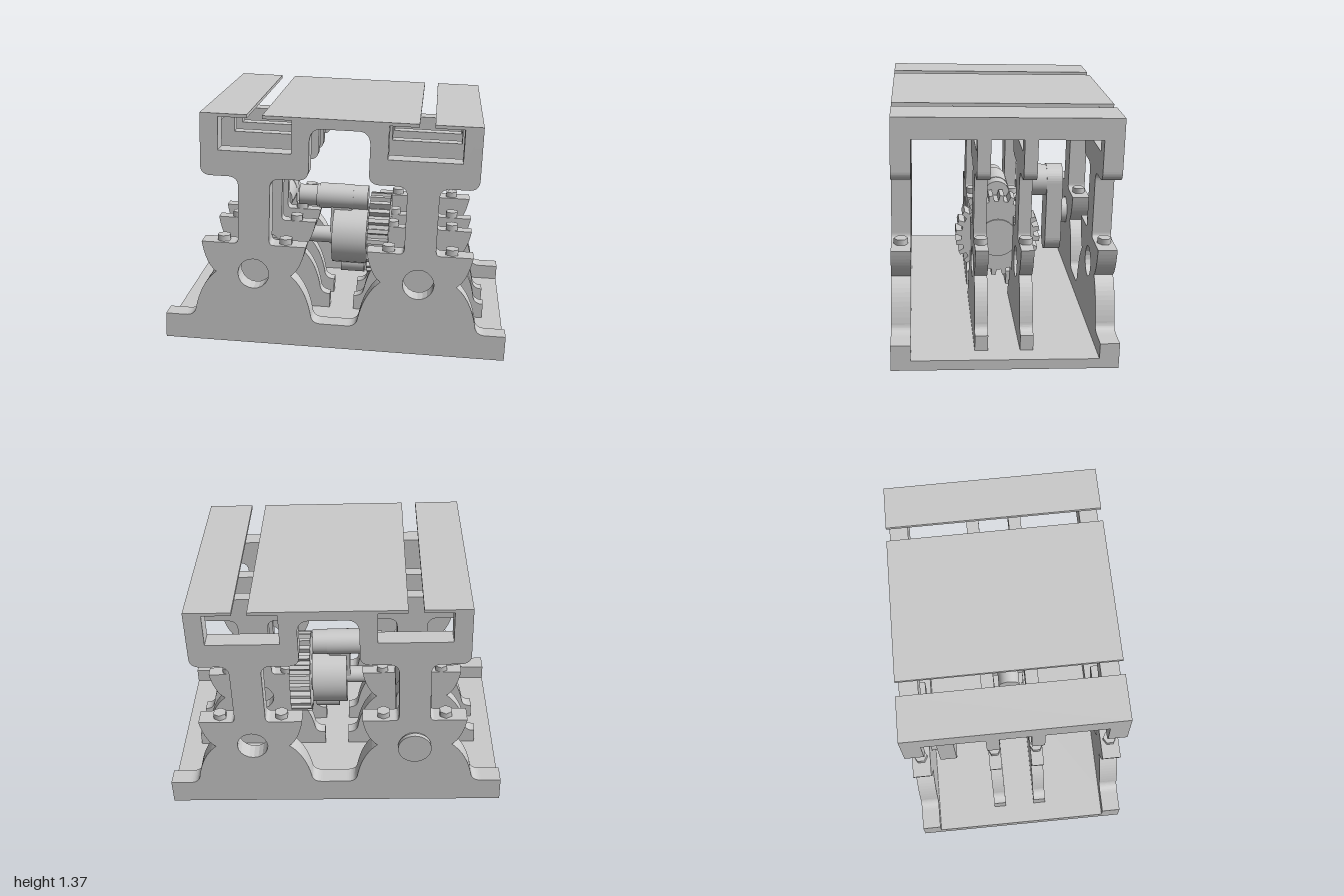
import * as THREE from 'three';

const grey = new THREE.MeshStandardMaterial({ color: 0xcccccc });

function add(parent, name, geometry, x = 0, y = 0, z = 0) {
  const mesh = new THREE.Mesh(geometry, grey);
  mesh.name = name;
  mesh.position.set(x, y, z);
  parent.add(mesh);
  return mesh;
}
const box = (p, name, w, h, d, x, y, z) => add(p, name, new THREE.BoxGeometry(w, h, d), x, y, z);

// Cylinder along x or z
function rod(parent, name, axis, r, length, x, y, z) {
  const g = new THREE.CylinderGeometry(r, r, length, 32);
  if (axis === 'x') g.rotateZ(Math.PI / 2); else g.rotateX(Math.PI / 2);
  return add(parent, name, g, x, y, z);
}

function extrude(shape, depth) {
  const g = new THREE.ExtrudeGeometry(shape, { depth, bevelEnabled: false, curveSegments: 10 });
  return g.translate(0, 0, -depth / 2);
}

// Column: flared foot, bearing boss, post and open-topped arm, symmetric about x = 0
function columnShape() {
  const s = new THREE.Shape();
  s.moveTo(-0.38, 0.04);
  s.lineTo(0.38, 0.04);
  s.lineTo(0.38, 0.14);
  s.quadraticCurveTo(0.325, 0.14, 0.32, 0.19);
  s.quadraticCurveTo(0.29, 0.34, 0.205, 0.41);
  s.quadraticCurveTo(0.262, 0.45, 0.285, 0.58);
  s.lineTo(0.11, 0.58);
  s.quadraticCurveTo(0.085, 0.58, 0.085, 0.61);
  s.lineTo(0.085, 0.9);
  s.quadraticCurveTo(0.085, 0.95, 0.135, 0.955);
  s.lineTo(0.24, 0.955);
  s.quadraticCurveTo(0.29, 0.96, 0.29, 1.01);
  s.lineTo(0.29, 1.275);
  s.lineTo(0.195, 1.275);
  s.lineTo(0.195, 1.095);
  s.lineTo(-0.195, 1.095);
  s.lineTo(-0.195, 1.275);
  s.lineTo(-0.29, 1.275);
  s.lineTo(-0.29, 1.01);
  s.quadraticCurveTo(-0.29, 0.96, -0.24, 0.955);
  s.lineTo(-0.135, 0.955);
  s.quadraticCurveTo(-0.085, 0.95, -0.085, 0.9);
  s.lineTo(-0.085, 0.61);
  s.quadraticCurveTo(-0.085, 0.58, -0.11, 0.58);
  s.lineTo(-0.285, 0.58);
  s.quadraticCurveTo(-0.262, 0.45, -0.205, 0.41);
  s.quadraticCurveTo(-0.29, 0.34, -0.32, 0.19);
  s.quadraticCurveTo(-0.325, 0.14, -0.38, 0.14);
  s.closePath();
  const hole = new THREE.Path();
  hole.absarc(0, 0.41, 0.085, 0, Math.PI * 2, true);
  s.holes.push(hole);
  return s;
}

// Bridge joining the two arms, with rounded lower corners
function bridgeShape() {
  const s = new THREE.Shape();
  s.moveTo(-0.17, 1.275);
  s.lineTo(-0.17, 1.17);
  s.lineTo(-0.16, 1.17);
  s.quadraticCurveTo(-0.155, 1.235, -0.1, 1.237);
  s.lineTo(0.1, 1.237);
  s.quadraticCurveTo(0.155, 1.235, 0.16, 1.17);
  s.lineTo(0.17, 1.17);
  s.lineTo(0.17, 1.275);
  s.closePath();
  return s;
}

// Toothed wheel with a bore, its axis along x
function gear(parent, name, r, teeth, width, bore, x, y, z) {
  const s = new THREE.Shape();
  for (let i = 0; i < teeth; i++) {
    [[0, 0.86], [0.42, 0.86], [0.5, 1], [0.88, 1]].forEach(([f, k], j) => {
      const a = (i + f) / teeth * Math.PI * 2;
      s[i + j ? 'lineTo' : 'moveTo'](r * k * Math.cos(a), r * k * Math.sin(a));
    });
  }
  s.closePath();
  const hole = new THREE.Path();
  hole.absarc(0, 0, bore, 0, Math.PI * 2, true);
  s.holes.push(hole);
  return add(parent, name, extrude(s, width).rotateY(Math.PI / 2), x, y, z);
}

function buildFrame(parent) {
  box(parent, 'basePlate', 1.88, 0.055, 1.19, 0, 0.0275, 0);
  const column = columnShape(), bridge = bridgeShape();
  for (const [z, depth] of [[0.543, 0.104], [0.12, 0.07], [-0.12, 0.07], [-0.543, 0.104]]) {
    const rib = new THREE.Group();
    rib.name = 'frameRib';
    rib.position.z = z;
    parent.add(rib);
    const outer = depth > 0.1;
    if (outer) box(rib, 'footRail', 1.88, 0.14, depth, 0, 0.07, 0);
    add(rib, 'bridge', extrude(bridge, depth));
    for (const side of [-1, 1]) {
      add(rib, 'column', extrude(column, depth), side * 0.45, 0, 0);
      // Bolts on both horns of the bearing boss
      for (const u of [-0.17, 0.17]) {
        const x = side * 0.45 + u;
        add(rib, 'boltHead', new THREE.CylinderGeometry(0.038, 0.038, 0.032, 6), x, 0.596, 0);
      }
    }
  }
  // Thin deck in three strips, with end beams under the outer edges
  box(parent, 'centreDeck', 0.82, 0.018, 1.19, 0, 1.284, 0);
  for (const side of [-1, 1]) {
    box(parent, 'sideDeck', 0.25, 0.018, 1.19, side * 0.615, 1.284, 0);
    box(parent, 'endBeam', 0.04, 0.11, 1.19, side * 0.72, 1.233, 0);
  }
}

function buildMachinery(parent) {
  // Crank running front to back in the right-hand bearings
  const x = -0.45;
  rod(parent, 'crankShaft', 'z', 0.08, 0.21, x, 0.41, -0.525);
  rod(parent, 'shaftCap', 'z', 0.092, 0.025, x, 0.41, -0.622);
  rod(parent, 'crankPin', 'z', 0.1, 0.2, x, 0.61, -0.255);
  const s = new THREE.Shape();
  s.absarc(0, 0.615, 0.1, 0, Math.PI, false);
  s.absarc(0, 0.25, 0.1, Math.PI, Math.PI * 2, false);
  s.closePath();
  add(parent, 'crankWeb', extrude(s, 0.1), x, 0, -0.405);

  // Cross shaft with gears between the middle ribs
  rod(parent, 'crossShaft', 'x', 0.05, 0.72, -0.1, 0.46, 0);
  gear(parent, 'largeGear', 0.24, 24, 0.12, 0.1, 0.2, 0.49, 0);
  rod(parent, 'gearHub', 'x', 0.11, 0.15, 0.195, 0.48, 0);
  rod(parent, 'drum', 'x', 0.17, 0.2, 0.03, 0.47, 0);
  gear(parent, 'smallGear', 0.14, 22, 0.06, 0.05, -0.42, 0.46, 0);

  // Collared arm above the drum and counterweight below
  rod(parent, 'upperPin', 'x', 0.06, 0.4, -0.08, 0.7, 0);
  for (const [cx, w, r] of [[-0.23, 0.07, 0.055], [-0.15, 0.05, 0.07], [-0.06, 0.2, 0.075], [0.08, 0.09, 0.072]])
    rod(parent, 'pinCollar', 'x', r, w, cx, 0.7, 0);
  box(parent, 'pinArm', 0.12, 0.24, 0.1, -0.03, 0.6, 0);
  rod(parent, 'counterweight', 'x', 0.06, 0.14, 0.05, 0.3, 0);
}

export function createModel() {
  const model = new THREE.Group();
  model.name = 'gearFrame';
  buildFrame(model);
  buildMachinery(model);
  // The whole machine sits slightly turned and tilted
  const ex = new THREE.Vector3(1.87, -0.06, -0.2).normalize();
  const ez = new THREE.Vector3(0.13, 0.025, 1.18).normalize();
  const ey = new THREE.Vector3().crossVectors(ez, ex).normalize();
  ez.crossVectors(ex, ey);
  model.quaternion.setFromRotationMatrix(new THREE.Matrix4().makeBasis(ex, ey, ez));
  model.position.y = 0.0425;
  const root = new THREE.Group();
  root.name = 'model';
  root.add(model);
  return root;
}
